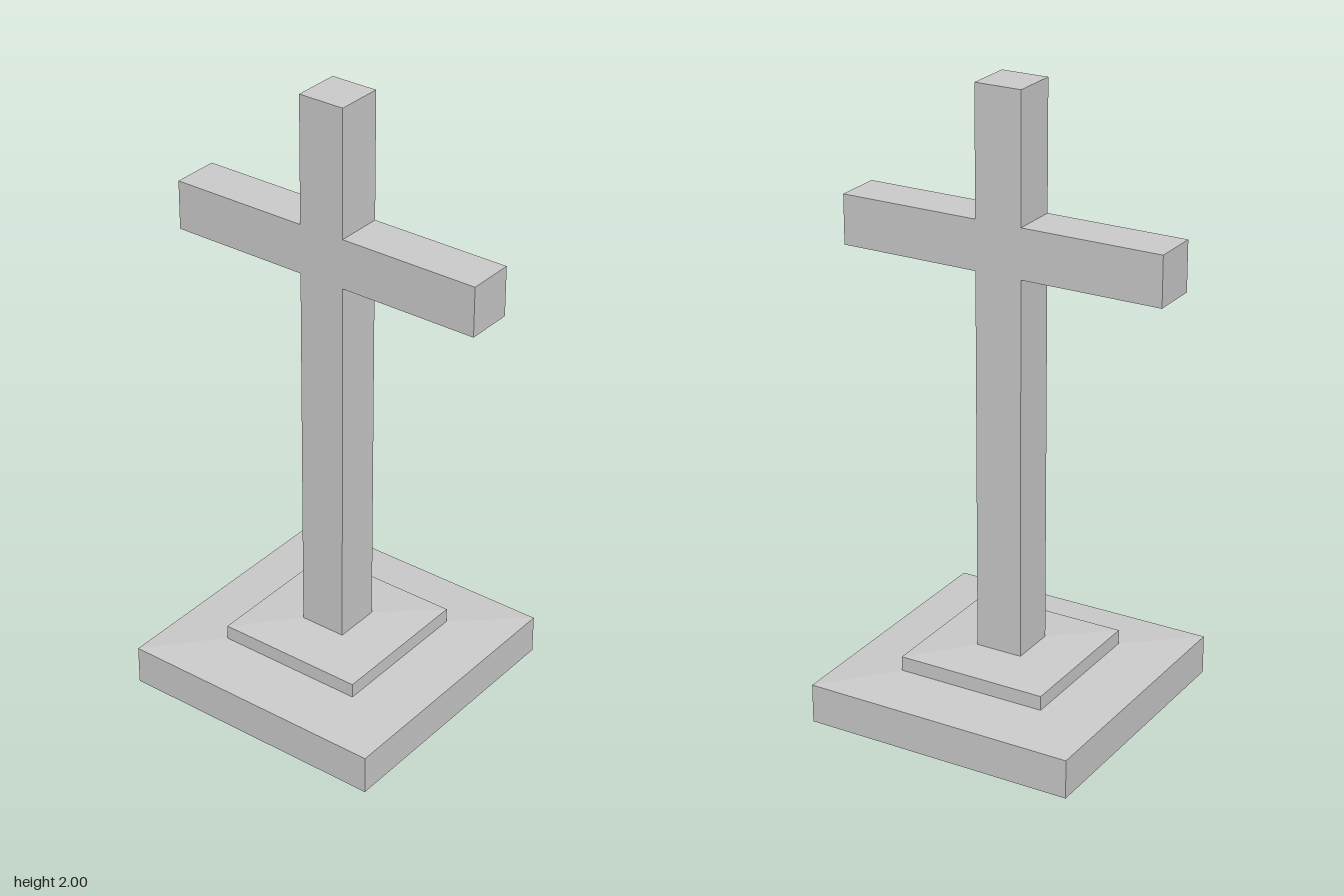
import * as THREE from 'three';

const material = new THREE.MeshStandardMaterial({ color: 0xcccccc, flatShading: true });

// Square tier with upright sides and a top sloping gently up to the next part
function tier(name, half, y0, y1, innerHalf, y2) {
  const profile = [[0, y0], [half, y0], [half, y1], [innerHalf, y2], [0, y2]]
    .map(([h, y]) => new THREE.Vector2(h * Math.SQRT2, y));
  const geometry = new THREE.LatheGeometry(profile, 4, Math.PI / 4).toNonIndexed();
  geometry.computeVertexNormals();
  const mesh = new THREE.Mesh(geometry, material);
  mesh.name = name;
  return mesh;
}

export function createModel() {
  const group = new THREE.Group();
  group.name = 'standingCross';

  // Stepped base
  group.add(tier('basePlinth', 0.447, 0, 0.127, 0.247, 0.14));
  group.add(tier('baseStep', 0.247, 0.135, 0.187, 0.077, 0.198));

  // Upright and crossbar as one outline, mirrored left to right
  const w = 0.077, arm = 0.537;
  const side = [[w, 0.19], [w, 1.43], [arm, 1.43], [arm, 1.59], [w, 1.59], [w, 2]];
  const outline = [...side, ...side.map(([x, y]) => [-x, y]).reverse()];
  const shape = new THREE.Shape(outline.map(([x, y]) => new THREE.Vector2(x, y)));
  const geometry = new THREE.ExtrudeGeometry(shape, { depth: 2 * w, bevelEnabled: false });
  geometry.translate(0, 0, -w);
  const cross = new THREE.Mesh(geometry, material);
  cross.name = 'cross';
  group.add(cross);

  return group;
}
